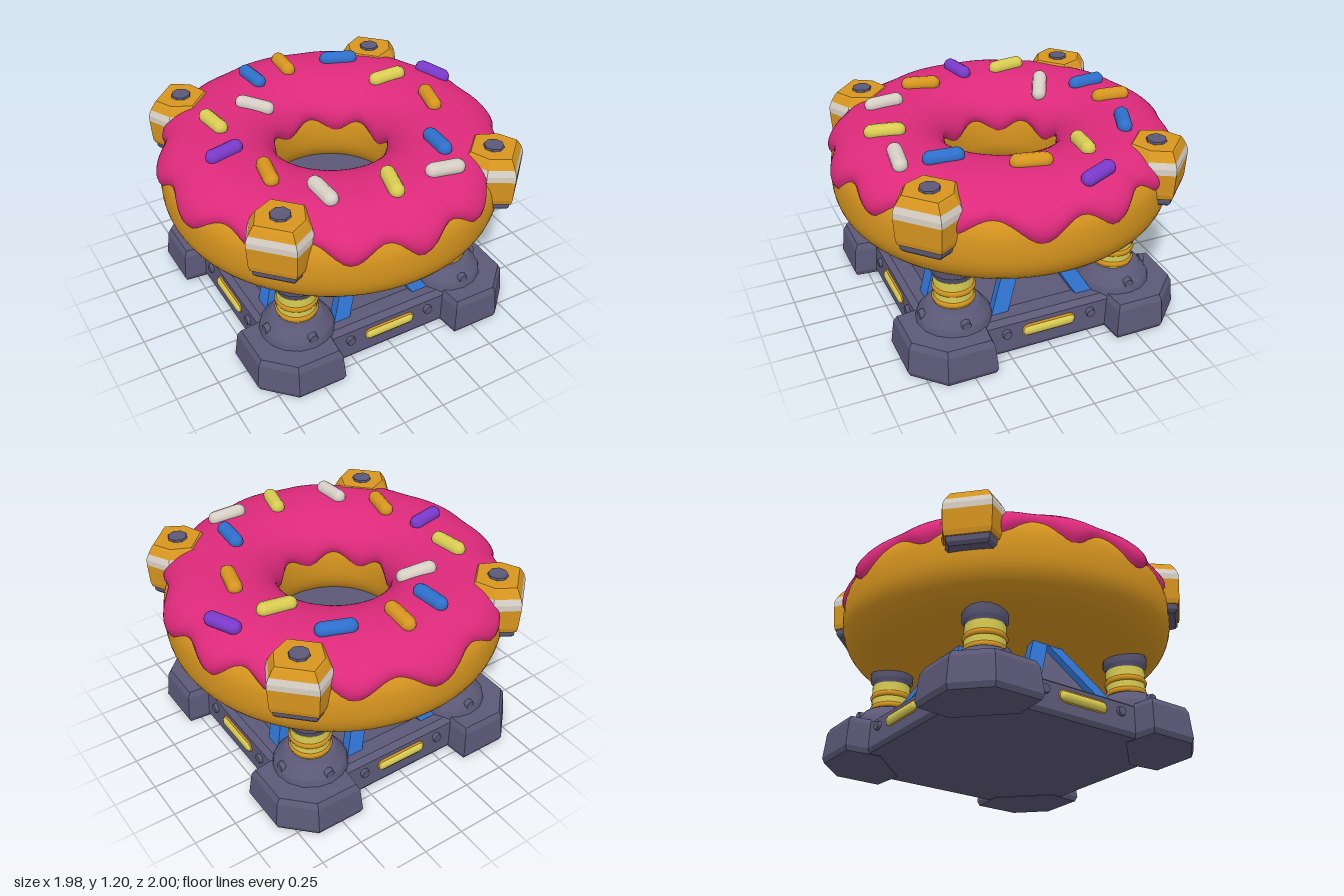
import * as THREE from 'three';
import { mergeVertices } from 'three/addons/utils/BufferGeometryUtils.js';

const mat = (name, color) => {
  const m = new THREE.MeshStandardMaterial({ color });
  m.name = name;
  return m;
};

// Superellipse ring section shared by dough, icing and sprinkle heights
const RING = { r: 0.655, y: 0.835, w: 0.325, h: 0.275, e: 2.5 };
const sgnPow = (v, p) => Math.sign(v) * Math.pow(Math.abs(v), p);
function section(phi, t = 0) {
  return [
    RING.r + (RING.w + t) * sgnPow(Math.cos(phi), 2 / RING.e),
    RING.y + (RING.h + t) * sgnPow(Math.sin(phi), 2 / RING.e),
  ];
}
function topHeight(x, z) {
  const c = Math.min(1, Math.abs(Math.hypot(x, z) - RING.r) / (RING.w + 0.03));
  return RING.y + (RING.h + 0.03) * Math.pow(1 - Math.pow(c, RING.e), 1 / RING.e);
}

// Lathe whose section may change with the turning angle
function ring(segments, rows, rule) {
  const blank = Array.from({ length: rows + 1 }, (_, j) => new THREE.Vector2(1, j));
  const g = new THREE.LatheGeometry(blank, segments);
  const p = g.attributes.position;
  for (let i = 0; i <= segments; i++) {
    const a = ((i % segments) / segments) * Math.PI * 2;
    for (let j = 0; j <= rows; j++) {
      const [r, y] = rule(a, j / rows);
      p.setXYZ(i * (rows + 1) + j, r * Math.sin(a), y, r * Math.cos(a));
    }
  }
  g.deleteAttribute('uv');
  g.deleteAttribute('normal');
  const merged = mergeVertices(g, 1e-5);
  merged.computeVertexNormals();
  return merged;
}

// Flat-faced solid: an [x, z] outline scaled about a centre at each [y, scale] level
function loft(outline, levels, cx = 0, cz = 0) {
  const pos = [];
  const n = outline.length;
  const at = (k, i) => {
    const [y, s] = levels[k];
    const [x, z] = outline[i % n];
    return [cx + (x - cx) * s, y, cz + (z - cz) * s];
  };
  for (let k = 0; k < levels.length - 1; k++) {
    for (let i = 0; i < n; i++) {
      const a = at(k, i), b = at(k, i + 1), c = at(k + 1, i + 1), d = at(k + 1, i);
      pos.push(...a, ...b, ...c, ...a, ...c, ...d);
    }
  }
  const top = levels.length - 1;
  for (let i = 1; i < n - 1; i++) {
    pos.push(...at(top, 0), ...at(top, i), ...at(top, i + 1));
    pos.push(...at(0, 0), ...at(0, i + 1), ...at(0, i));
  }
  const g = new THREE.BufferGeometry();
  g.setAttribute('position', new THREE.Float32BufferAttribute(pos, 3));
  g.computeVertexNormals();
  return g;
}

const lathe = (points, sides) =>
  new THREE.LatheGeometry(points.map(([r, y]) => new THREE.Vector2(r, y)), sides);

export function createModel() {
  const model = new THREE.Group();
  model.name = 'ringTurret';
  const M = {
    pink: mat('pinkIcing', 0xdd2a7b),
    orange: mat('goldenOrange', 0xd8961f),
    grey: mat('slateGrey', 0x5c5978),
    blue: mat('strutBlue', 0x2e70cc),
    yellow: mat('paleYellow', 0xdacd52),
    white: mat('offWhite', 0xd8d0c6),
    purple: mat('violet', 0x7b3acc),
  };
  const add = (parent, name, geo, material, x = 0, y = 0, z = 0) => {
    const m = new THREE.Mesh(geo, material);
    m.name = name;
    m.position.set(x, y, z);
    parent.add(m);
    return m;
  };

  // Dough, its closed underside, and the dark floor of the hole
  add(model, 'dough', ring(80, 48, (a, s) => section(s * Math.PI * 2)), M.orange);
  add(model, 'doughUnderside', new THREE.CircleGeometry(0.52, 40).rotateX(Math.PI / 2), M.orange, 0, 0.575, 0);
  add(model, 'holeFloor', lathe([[0.4, 0.645], [0.22, 0.66], [0, 0.665]], 24), M.grey);

  // Icing with drips that hang lower and bulge further out
  add(model, 'icing', ring(168, 32, (a, s) => {
    const wave = 0.75 * Math.cos(14 * a + 0.6 * Math.sin(3 * a)) + 0.25 * Math.cos(4 * a);
    const start = 0.32 - 0.27 * wave, end = Math.PI - 0.14 + 0.12 * Math.cos(7 * a + 1);
    const bulge = 0.01 * wave * Math.max(0, 1 - 2.5 * s);
    const thick = (0.042 + bulge) * (1 - Math.pow(Math.abs(2 * s - 1), 12)) - 0.01;
    return section(start + (end - start) * s, thick);
  }), M.pink);

  // Sprinkles: colour, centre x, z and direction x, z
  const sprinkles = [
    ['blue', -0.18, -0.64, 0.1, 1], ['orange', 0.05, -0.68, -0.05, 1],
    ['blue', 0.38, -0.58, 1, 0.4], ['white', -0.29, -0.38, 1, 0.5],
    ['yellow', -0.59, -0.29, 0.14, 1], ['purple', -0.66, 0.01, 1, -0.22],
    ['orange', -0.54, 0.29, -0.2, 1], ['white', -0.37, 0.575, 0.06, 1],
    ['yellow', -0.02, 0.68, -0.25, 1], ['white', 0.29, 0.71, 1, 0.12],
    ['blue', 0.39, 0.49, -0.06, 1], ['orange', 0.61, 0.09, -0.25, 1],
    ['yellow', 0.53, -0.25, 1, 0.1], ['purple', 0.82, -0.19, 0.4, 1],
  ];
  const capsule = new THREE.CapsuleGeometry(0.043, 0.145, 5, 10);
  const up = new THREE.Vector3(0, 1, 0);
  for (const [color, x, z, dx, dz] of sprinkles) {
    const k = 0.08 / Math.hypot(dx, dz);
    const y1 = topHeight(x - dx * k, z - dz * k), y2 = topHeight(x + dx * k, z + dz * k);
    const s = add(model, 'sprinkle', capsule, M[color], x, (y1 + y2) / 2 + 0.016, z);
    s.quaternion.setFromUnitVectors(up, new THREE.Vector3(dx * k * 2, y2 - y1, dz * k * 2).normalize());
  }

  // Clamps around the rim, outlines point outward along local +z
  const clampOutline = [[-0.125, 0.14], [0.125, 0.14], [0.165, 0], [0.11, -0.14], [-0.11, -0.14], [-0.165, 0]];
  const clampParts = [
    ['clampPad', M.grey, [[0.81, 0.82], [0.83, 0.92], [0.88, 0.95]]],
    ['clampBody', M.orange, [[0.86, 0.99], [0.89, 1.04], [1.015, 1.08]]],
    ['clampStripe', M.white, [[1.015, 1.08], [1.05, 1.08], [1.085, 1.0]]],
    ['clampTop', M.orange, [[1.085, 1.0], [1.125, 0.86], [1.138, 0.8]]],
  ];
  const boltCap = new THREE.CylinderGeometry(0.055, 0.066, 0.05, 8).toNonIndexed();
  boltCap.computeVertexNormals();
  for (const [x, z] of [[-0.63, -0.67], [0.64, -0.64], [-0.64, 0.63], [0.645, 0.66]]) {
    const clamp = new THREE.Group();
    clamp.name = 'rimClamp';
    clamp.position.set(x, 0, z);
    clamp.rotation.y = Math.atan2(x, z);
    for (const [name, m, levels] of clampParts) add(clamp, name, loft(clampOutline, levels), m);
    add(clamp, 'clampBolt', boltCap, M.grey, 0, 1.126, 0);
    model.add(clamp);
  }

  // Base slab and centre pillar
  const square = [[-0.7, 0.7], [0.7, 0.7], [0.7, -0.7], [-0.7, -0.7]];
  add(model, 'baseSlab', loft(square, [[0.003, 0.98], [0.03, 1], [0.19, 0.98], [0.215, 0.93]]), M.grey);
  const pillar = [[-0.15, 0.26], [0.15, 0.26], [0.26, 0.15], [0.26, -0.15], [0.15, -0.26], [-0.15, -0.26], [-0.26, -0.15], [-0.26, 0.15]];
  add(model, 'centrePillar', loft(pillar, [[0.2, 1], [0.58, 0.72]]), M.grey);

  // One side and one corner, repeated four times around the base
  const footOutline = [[0.35, 0.62], [0.37, 0.83], [0.66, 0.83], [0.83, 0.66], [0.83, 0.37], [0.62, 0.35]];
  const foot = loft(footOutline, [[0, 0.96], [0.03, 1.01], [0.18, 0.95], [0.215, 0.88]], 0.57, 0.57);
  const collar = lathe([[0.22, 0.19], [0.21, 0.243], [0.2, 0.26], [0.155, 0.315], [0.14, 0.326], [0, 0.326]], 16);
  const bolt = new THREE.CylinderGeometry(0.026, 0.031, 0.03, 8).rotateX(Math.PI / 2);
  const coil = new THREE.TorusGeometry(0.102, 0.022, 8, 24).rotateX(Math.PI / 2);
  const core = new THREE.CylinderGeometry(0.114, 0.114, 0.19, 24);
  const cap = lathe([[0, 0.485], [0.105, 0.485], [0.112, 0.495], [0.112, 0.52], [0.128, 0.53], [0.128, 0.6]], 16);
  const strut = new THREE.BoxGeometry(0.09, 0.52, 0.07);
  const gable = new THREE.ExtrudeGeometry(
    new THREE.Shape([[-0.25, 0], [0.25, 0], [0.04, 0.43], [-0.04, 0.43]].map(([x, y]) => new THREE.Vector2(x, y))),
    { depth: 0.03, bevelEnabled: false });
  const rim = new THREE.CapsuleGeometry(0.04, 0.25, 4, 10).rotateZ(Math.PI / 2).scale(1, 1, 0.3);
  const lamp = new THREE.CapsuleGeometry(0.032, 0.255, 4, 10).rotateZ(Math.PI / 2).scale(1, 1, 0.8);
  for (let q = 0; q < 4; q++) {
    const part = new THREE.Group();
    part.name = 'baseQuarter';
    part.rotation.y = (q * Math.PI) / 2;
    model.add(part);

    // Corner foot with its spring
    add(part, 'foot', foot, M.grey);
    add(part, 'footCollar', collar, M.grey, 0.5, 0, 0.5);
    add(part, 'springCore', core, M.yellow, 0.495, 0.4, 0.495);
    for (const y of [0.35, 0.423]) add(part, 'springCoil', coil, M.orange, 0.495, y, 0.495);
    add(part, 'springCap', cap, M.grey, 0.495, 0, 0.495);
    add(part, 'collarBolt', bolt, M.grey, 0.5, 0.27, 0.69);
    add(part, 'collarBolt', bolt, M.grey, 0.69, 0.27, 0.5).rotation.y = Math.PI / 2;

    // Side lamp and bolts
    add(part, 'lampRim', rim, M.orange, 0, 0.125, 0.69);
    add(part, 'sideLamp', lamp, M.yellow, 0, 0.125, 0.69);
    for (const s of [-1, 1]) add(part, 'sideBolt', bolt, M.grey, s * 0.26, 0.135, 0.695);

    // V struts over a gable plate, leaning in towards the pillar
    const brace = new THREE.Group();
    brace.name = 'leaningBrace';
    brace.position.set(0, 0.195, 0.57);
    brace.rotation.x = -0.5;
    part.add(brace);
    add(brace, 'gablePlate', gable, M.grey, 0, 0, -0.03);
    for (const s of [-1, 1]) add(brace, 'strut', strut, M.blue, s * 0.155, 0.215, 0).rotation.z = s * 0.47;
  }
  return model;
}
